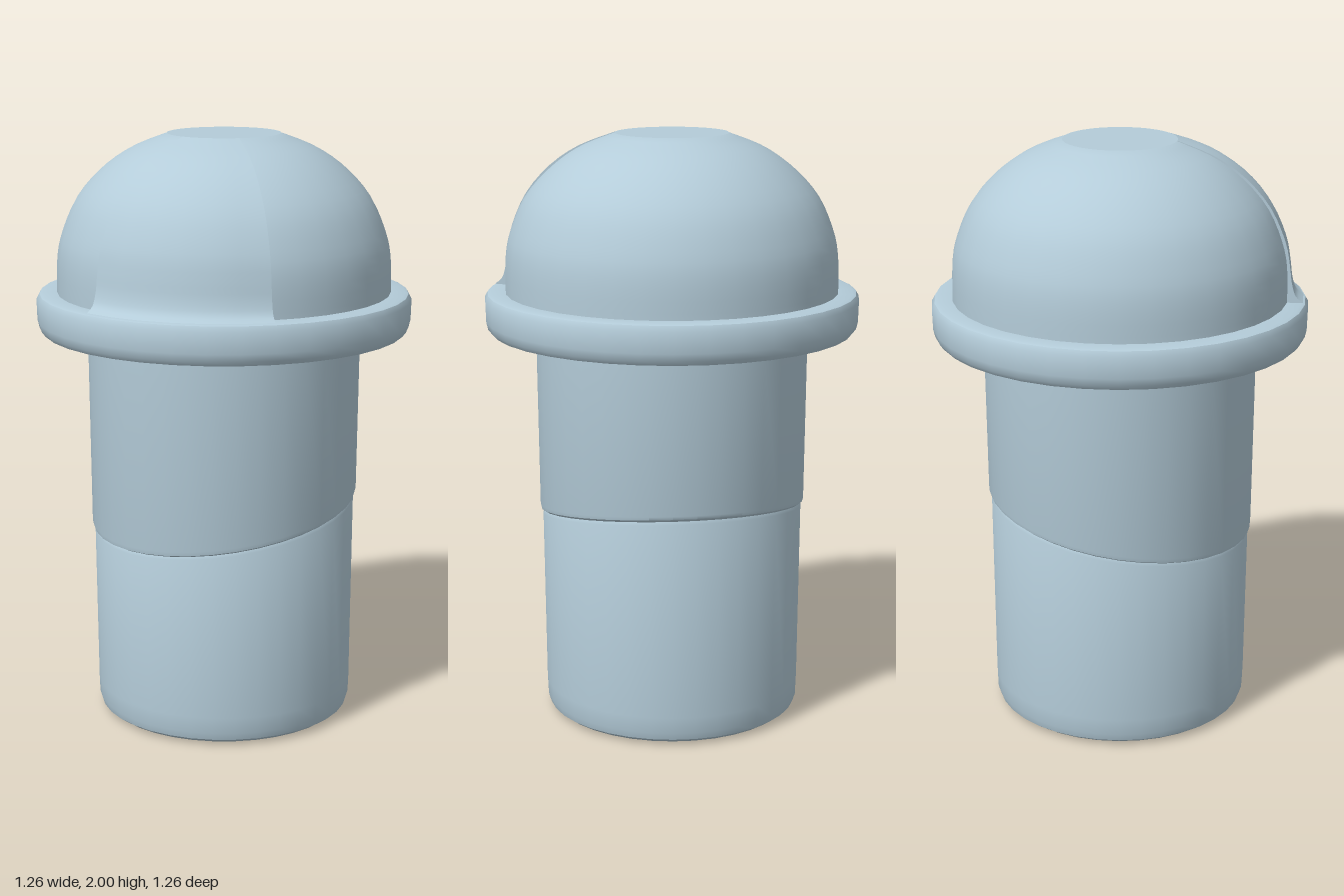
import * as THREE from 'three';
import { toCreasedNormals } from 'three/addons/utils/BufferGeometryUtils.js';

const material = new THREE.MeshStandardMaterial({ color: 0xb4ccd9, side: THREE.DoubleSide });
const SEGMENTS = 36;
const rad = THREE.MathUtils.degToRad;
const vectors = (pairs) => pairs.map(([r, y]) => new THREE.Vector2(r, y));
const smooth = (pairs, n) => new THREE.SplineCurve(vectors(pairs)).getPoints(n);

function addMesh(group, name, geometry) {
  const mesh = new THREE.Mesh(geometry, material);
  mesh.name = name;
  group.add(mesh);
  return mesh;
}

function turned(points, start = 0, sweep = 360, rule = null) {
  const segments = Math.round(SEGMENTS * sweep / 360);
  const geometry = new THREE.LatheGeometry(points, segments, rad(start), rad(sweep));
  if (rule) rule(geometry.attributes.position);
  return toCreasedNormals(geometry, 0.6);
}

// Tilts the seam sideways, fading out toward the cup's foot and mouth
function slantSeam(position) {
  const seam = 0.72;
  for (let i = 0; i < position.count; i++) {
    const y = position.getY(i);
    const weight = y < seam ? (y - 0.1) / (seam - 0.1) : (1.3 - y) / (1.3 - seam);
    position.setY(i, y + 0.161 * position.getX(i) * THREE.MathUtils.clamp(weight, 0, 1));
  }
}

export function createModel() {
  const model = new THREE.Group();
  model.name = 'lidded cup';

  // Cup: rounded foot, slanted seam with a small step, open mouth and inner wall
  const cup = vectors([
    [0, 0], [0.385, 0], [0.41, 0.006], [0.43, 0.02], [0.438, 0.045], [0.44, 0.1],
    [0.446, 0.705], [0.442, 0.715], [0.452, 0.722], [0.455, 0.735],
    [0.461, 1.3], [0.464, 1.41], [0.44, 1.41], [0.43, 0.9], [0.41, 0.06], [0, 0.05],
  ]);
  addMesh(model, 'cup', turned(cup, 0, 360, slantSeam));

  const lid = new THREE.Group();
  lid.name = 'lid';
  model.add(lid);

  // Rim: hollow band around the lid
  const rim = vectors([
    [0.53, 1.445], [0.585, 1.445], [0.592, 1.35], [0.6, 1.338], [0.612, 1.34],
    [0.624, 1.355], [0.63, 1.38], [0.632, 1.45], [0.622, 1.468], [0.61, 1.472], [0.555, 1.472],
  ]);
  addMesh(lid, 'rim', turned(rim));

  // Dome with a flat crown
  const dome = smooth([
    [0.562, 1.465], [0.56, 1.58], [0.543, 1.67], [0.493, 1.785],
    [0.41, 1.88], [0.31, 1.95], [0.19, 1.998],
  ], 20);
  addMesh(lid, 'dome', turned([...dome, new THREE.Vector2(0, 1.998)]));

  // Spout: a sector of the dome that flares smoothly onto the rim
  const [start, sweep] = [-80, 60];
  const spout = smooth([
    [0.615, 1.474], [0.59, 1.495], [0.576, 1.54], [0.568, 1.6], [0.551, 1.68],
    [0.5, 1.79], [0.416, 1.885], [0.314, 1.953], [0.19, 2],
  ], 24);
  addMesh(lid, 'spout', turned(spout, start, sweep));

  // Thin walls closing the two sides of the spout
  const sideShape = new THREE.Shape([...spout, ...[...dome].reverse()]);
  for (const angle of [start, start + sweep]) {
    const side = new THREE.ShapeGeometry(sideShape);
    side.rotateY(rad(angle) - Math.PI / 2);
    addMesh(lid, 'spoutSide', side);
  }

  // Flat crown disc
  const crown = addMesh(lid, 'crown', new THREE.CircleGeometry(0.19, SEGMENTS));
  crown.rotation.x = -Math.PI / 2;
  crown.position.y = 2;

  return model;
}
